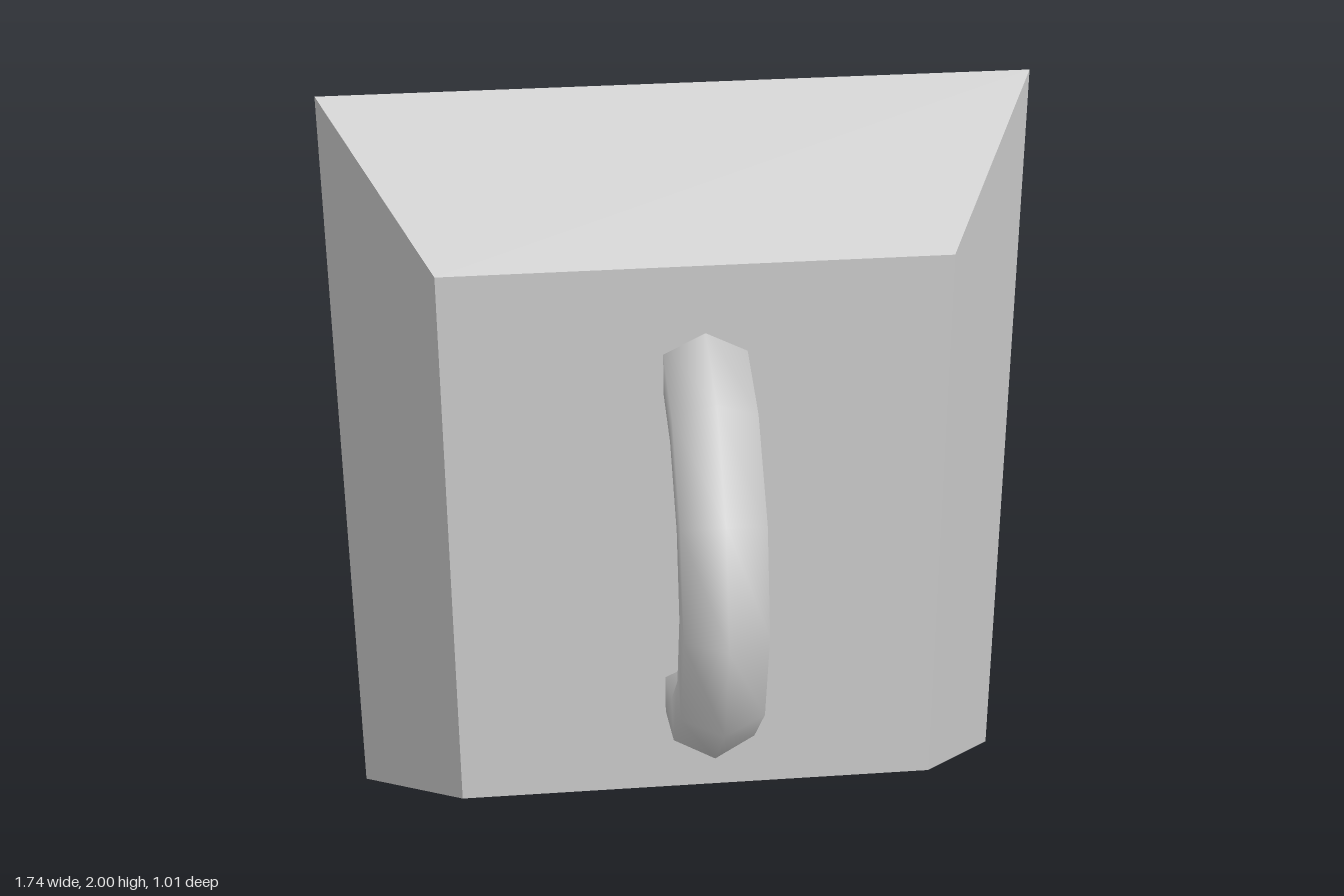
import * as THREE from 'three';

export function createModel() {
  const group = new THREE.Group();
  const grey = new THREE.MeshStandardMaterial({ color: 0xcccccc });
  grey.name = 'light grey';

  // Bevelled block: a box whose front face is drawn in on all four sides
  const blockGeo = new THREE.BoxGeometry(1.74, 2, 0.485);
  const pos = blockGeo.attributes.position;
  const inset = 0.263;
  for (let i = 0; i < pos.count; i++) {
    if (pos.getZ(i) > 0) {
      pos.setX(i, pos.getX(i) - Math.sign(pos.getX(i)) * inset);
      pos.setY(i, pos.getY(i) - Math.sign(pos.getY(i)) * inset);
    }
  }
  blockGeo.computeVertexNormals();
  const block = new THREE.Mesh(blockGeo, grey);
  block.name = 'block';
  block.position.set(0, 1, -0.2625);
  group.add(block);

  // Half-ring handle with a six-sided section, its ends sunk into the block
  const handleGeo = new THREE.TorusGeometry(0.4675, 0.1025, 6, 6, Math.PI);
  handleGeo.rotateZ(-Math.PI / 2);
  handleGeo.rotateY(-Math.PI / 2);
  handleGeo.scale(1.13, 1, 1);
  const handle = new THREE.Mesh(handleGeo, grey);
  handle.name = 'handle';
  handle.position.set(0.02, 1.005, -0.065);
  group.add(handle);

  return group;
}
